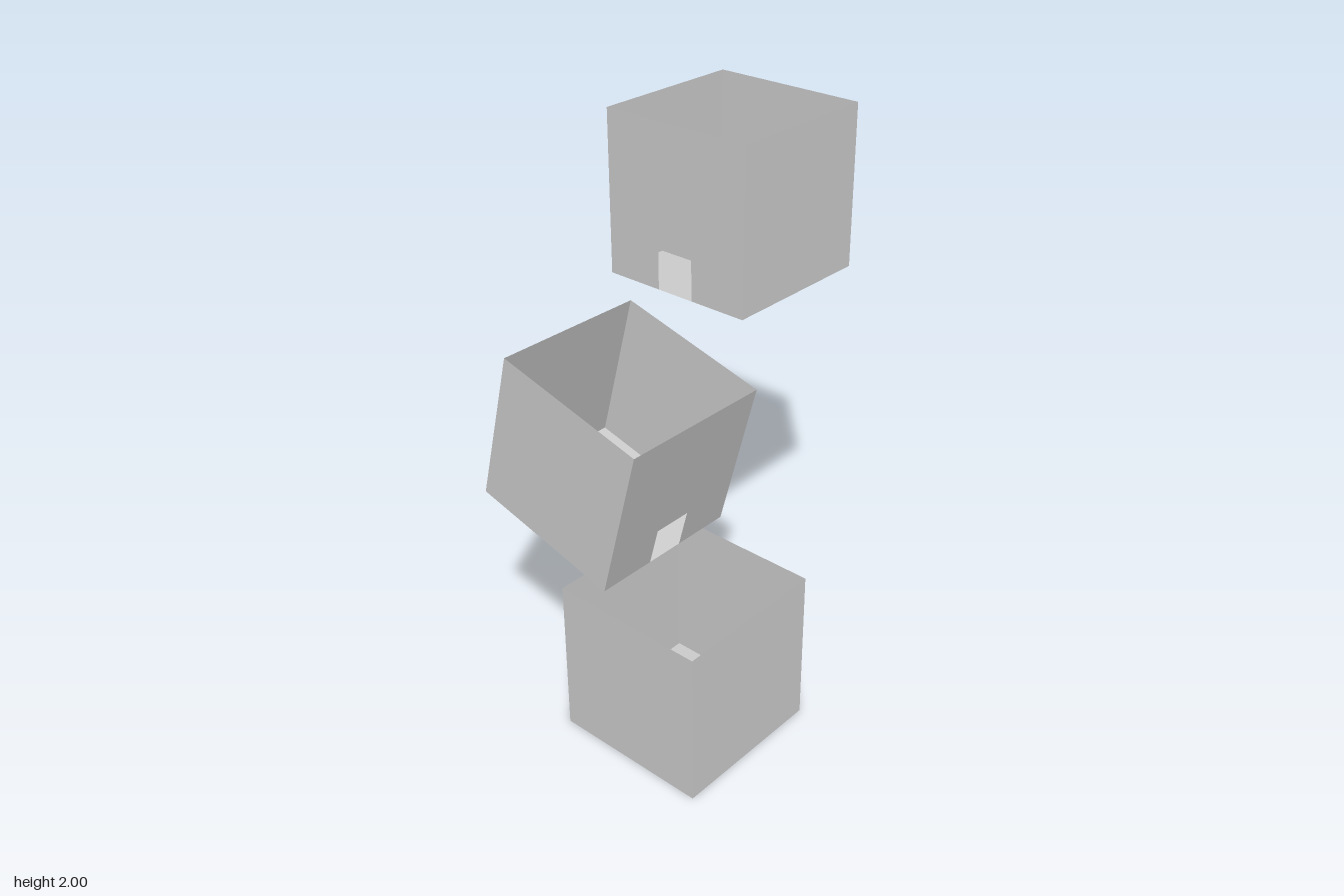
import * as THREE from 'three';

const SIZE = 0.57;
const HALF = SIZE / 2;
const DOOR = SIZE / 8; // half the doorway width

const material = new THREE.MeshStandardMaterial({ color: 0xcccccc, side: THREE.DoubleSide });

// Square wall, with an optional square doorway cut from its bottom edge
function wallGeometry(hasDoor) {
  const points = [[-HALF, -HALF]];
  if (hasDoor) {
    points.push([-DOOR, -HALF], [-DOOR, 2 * DOOR - HALF], [DOOR, 2 * DOOR - HALF], [DOOR, -HALF]);
  }
  points.push([HALF, -HALF], [HALF, HALF], [-HALF, HALF]);
  return new THREE.ShapeGeometry(new THREE.Shape(points.map(([x, y]) => new THREE.Vector2(x, y))));
}

// Thin-walled box open at the top, centred on its origin, doorway facing +z
function openBox(name, hasDoor) {
  const box = new THREE.Group();
  box.name = name;
  ['frontWall', 'leftWall', 'backWall', 'rightWall'].forEach((wallName, i) => {
    const geometry = wallGeometry(hasDoor && i === 0);
    geometry.translate(0, 0, HALF).rotateY(i * Math.PI / 2);
    const wall = new THREE.Mesh(geometry, material);
    wall.name = wallName;
    box.add(wall);
  });
  const floorGeometry = new THREE.PlaneGeometry(SIZE, SIZE);
  floorGeometry.rotateX(-Math.PI / 2).translate(0, -HALF, 0);
  const floor = new THREE.Mesh(floorGeometry, material);
  floor.name = 'floor';
  box.add(floor);
  return box;
}

export function createModel() {
  const model = new THREE.Group();
  model.name = 'boxCascade';

  // Upper box, set back, doorway to the front
  const upper = openBox('upperBox', true);
  upper.position.set(-0.113, 2 - HALF, -HALF);

  // Middle box, tipped sideways, doorway on its lower side
  const middle = openBox('middleBox', true);
  middle.position.set(-0.113, 1.003, HALF);
  middle.rotation.set(0, Math.PI / 2, -Math.PI / 12, 'ZYX');

  // Lower box, closed on all four sides
  const lower = openBox('lowerBox', false);
  lower.position.set(0.176, HALF, HALF);

  model.add(upper, middle, lower);
  return model;
}
